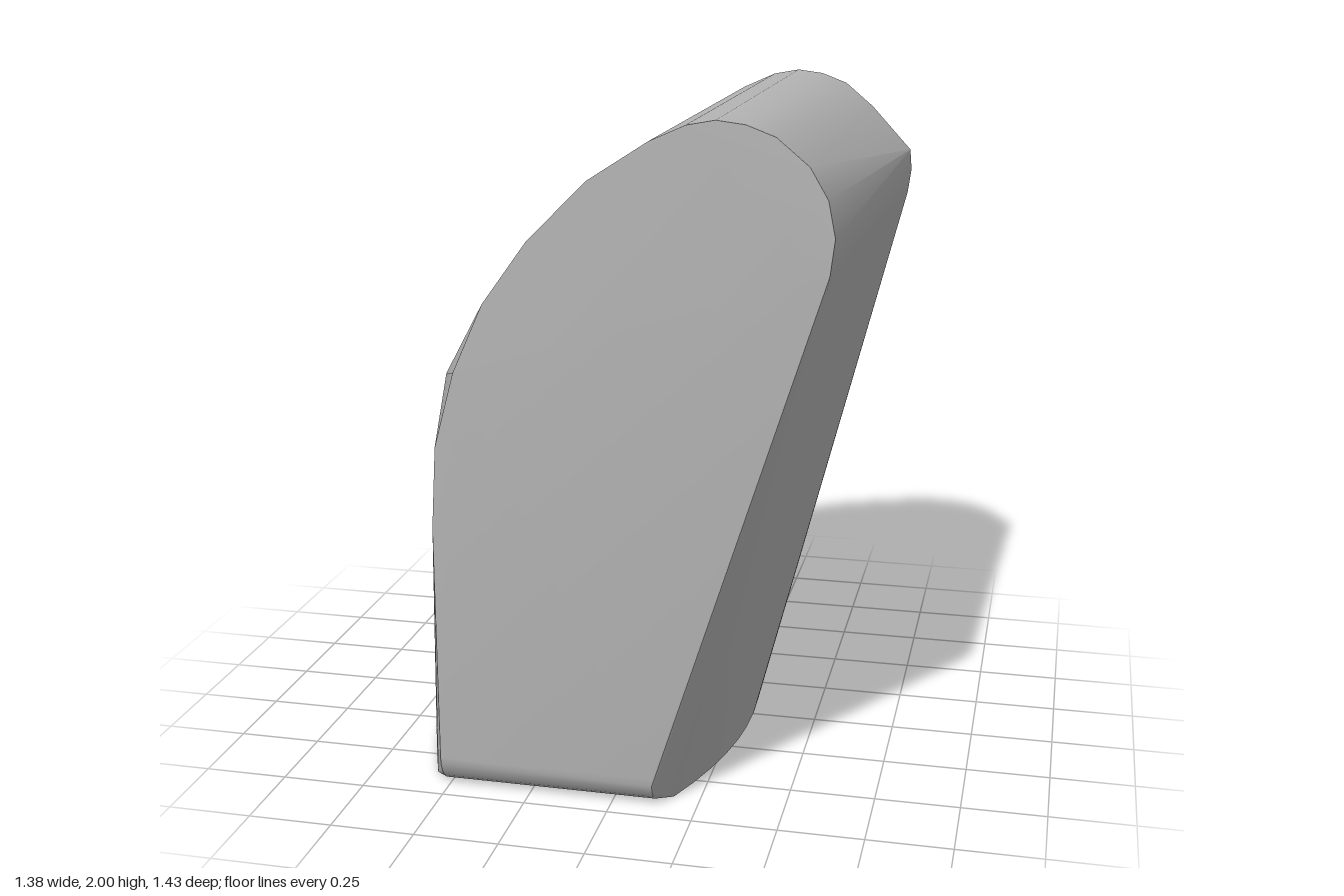
import * as THREE from 'three';
import { ConvexGeometry } from 'three/addons/geometries/ConvexGeometry.js';
import { toCreasedNormals } from 'three/addons/utils/BufferGeometryUtils.js';

const DEPTH = 0.715; // half depth of the block
const ROUND = 0.1; // radius of the lower front and back edges
const BULGE = 0.175; // how far the sides swell at the middle

export function createModel() {
  const group = new THREE.Group();
  group.name = 'leaningBlock';
  const grey = new THREE.MeshStandardMaterial({ color: 0xb4b4b4 });
  grey.name = 'grey';

  const points = [];
  const add = (x, y, z) => points.push(new THREE.Vector3(x, y, z));

  // flat end faces: upright side, domed top, leaning side
  const profile = [
    [-0.515, 0.82], [-0.5, 1.06], [-0.44, 1.28], [-0.35, 1.48], [-0.22, 1.66],
    [-0.05, 1.83], [0.12, 1.94], [0.22, 1.985], [0.3, 2], [0.38, 1.99],
    [0.46, 1.96], [0.55, 1.885], [0.6, 1.8], [0.62, 1.7], [0.608, 1.6],
  ];
  for (const side of [-1, 1]) {
    for (const [x, y] of profile) add(x, y, side * DEPTH);
    // rounded lower edge
    for (let i = 0; i <= 6; i++) {
      const a = (i / 6) * Math.PI / 2;
      const z = DEPTH - ROUND + ROUND * Math.sin(a);
      const y = ROUND - ROUND * Math.cos(a);
      add(-0.515, y, side * z);
      add(0.125, y, side * z);
    }
  }

  // swelling outline of the base
  for (let i = -6; i <= 6; i++) {
    const z = (i / 6) * (DEPTH - ROUND);
    const swell = BULGE * (1 - (z / DEPTH) ** 2);
    add(-0.515 - swell, 0, z);
    add(0.125 + swell, 0, z);
  }

  // top of the swollen upright side
  add(-0.69, 1.1, 0.06);
  add(-0.687, 1.07, -0.09);
  add(-0.673, 1.03, -0.2);
  add(-0.645, 0.98, -0.34);

  // protruding corner at the back of the leaning side
  add(0.684, 1.755, -0.65);
  add(0.69, 1.69, -0.65);
  add(0.68, 1.615, -0.65);

  const body = new THREE.Mesh(toCreasedNormals(new ConvexGeometry(points), 0.42), grey);
  body.name = 'body';
  group.add(body);
  return group;
}
